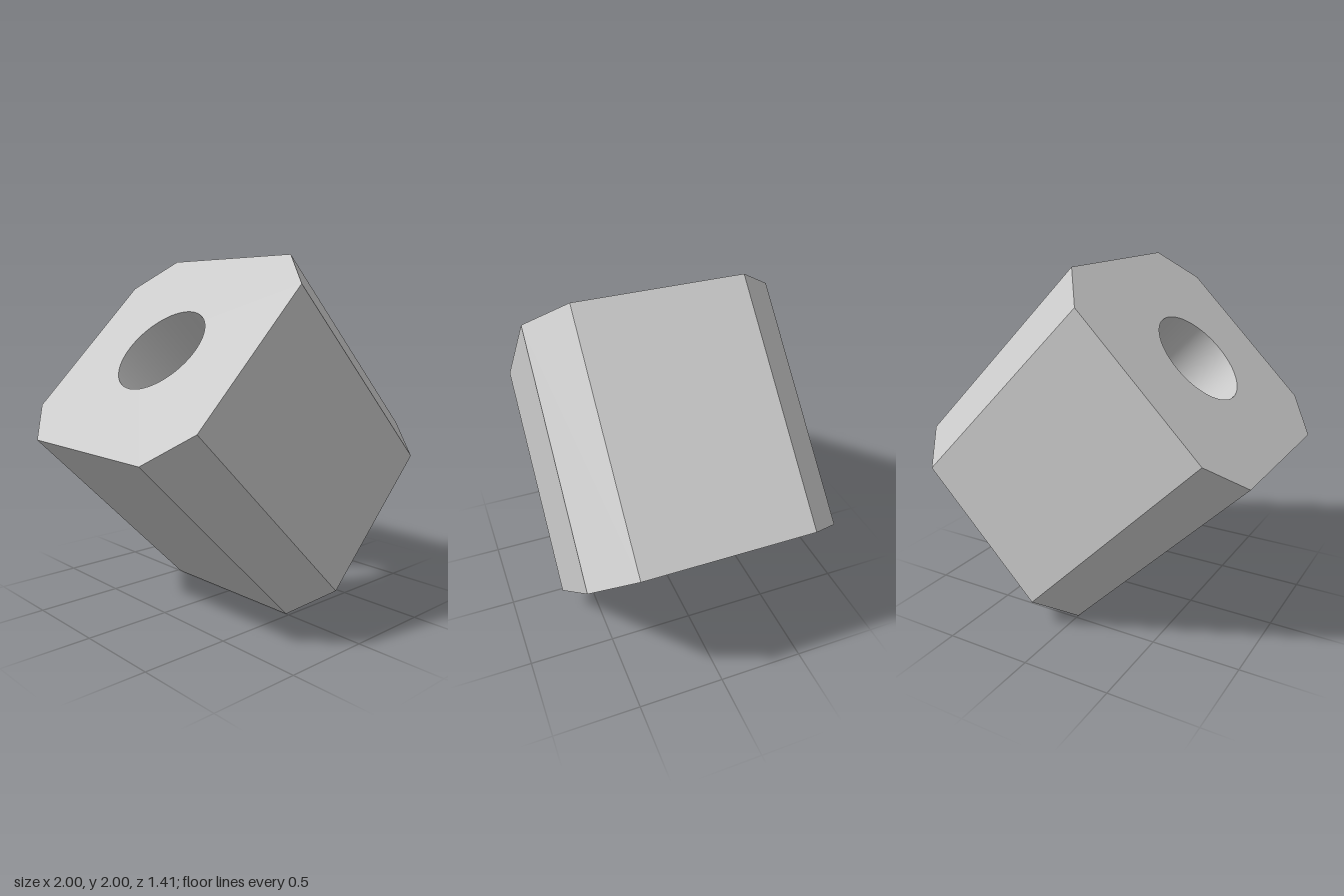
import * as THREE from 'three';
import { toCreasedNormals } from 'three/addons/utils/BufferGeometryUtils.js';

export function createModel() {
  const group = new THREE.Group();
  group.name = 'chamferedBlock';

  const half = Math.SQRT1_2; // half the block's width, height and length
  const flat = 0.48;         // half the flat between two chamfers
  const boreRadius = 0.283;

  // Square cross-section with four chamfered corners and a round bore
  const profile = new THREE.Shape([
    [half, -flat], [half, flat], [flat, half], [-flat, half],
    [-half, flat], [-half, -flat], [-flat, -half], [flat, -half],
  ].map(([x, y]) => new THREE.Vector2(x, y)));
  profile.holes.push(new THREE.Path().absarc(0, 0, boreRadius, 0, Math.PI * 2, true));

  const extruded = new THREE.ExtrudeGeometry(profile, {
    depth: 2 * half, bevelEnabled: false, curveSegments: 64,
  });
  extruded.translate(0, 0, -half);
  const geometry = toCreasedNormals(extruded, Math.PI / 6);

  // Stand the block on one edge, its bore running from lower left to upper right side
  const axis = new THREE.Vector3(-half, half, 0);
  const across = new THREE.Vector3(0, 0, 1);
  const up = new THREE.Vector3(half, half, 0);
  geometry.applyMatrix4(new THREE.Matrix4().makeBasis(across, up, axis));

  const block = new THREE.Mesh(geometry, new THREE.MeshStandardMaterial({ color: 0xcccccc }));
  block.name = 'boredBlock';
  block.position.y = 1;
  group.add(block);
  return group;
}
